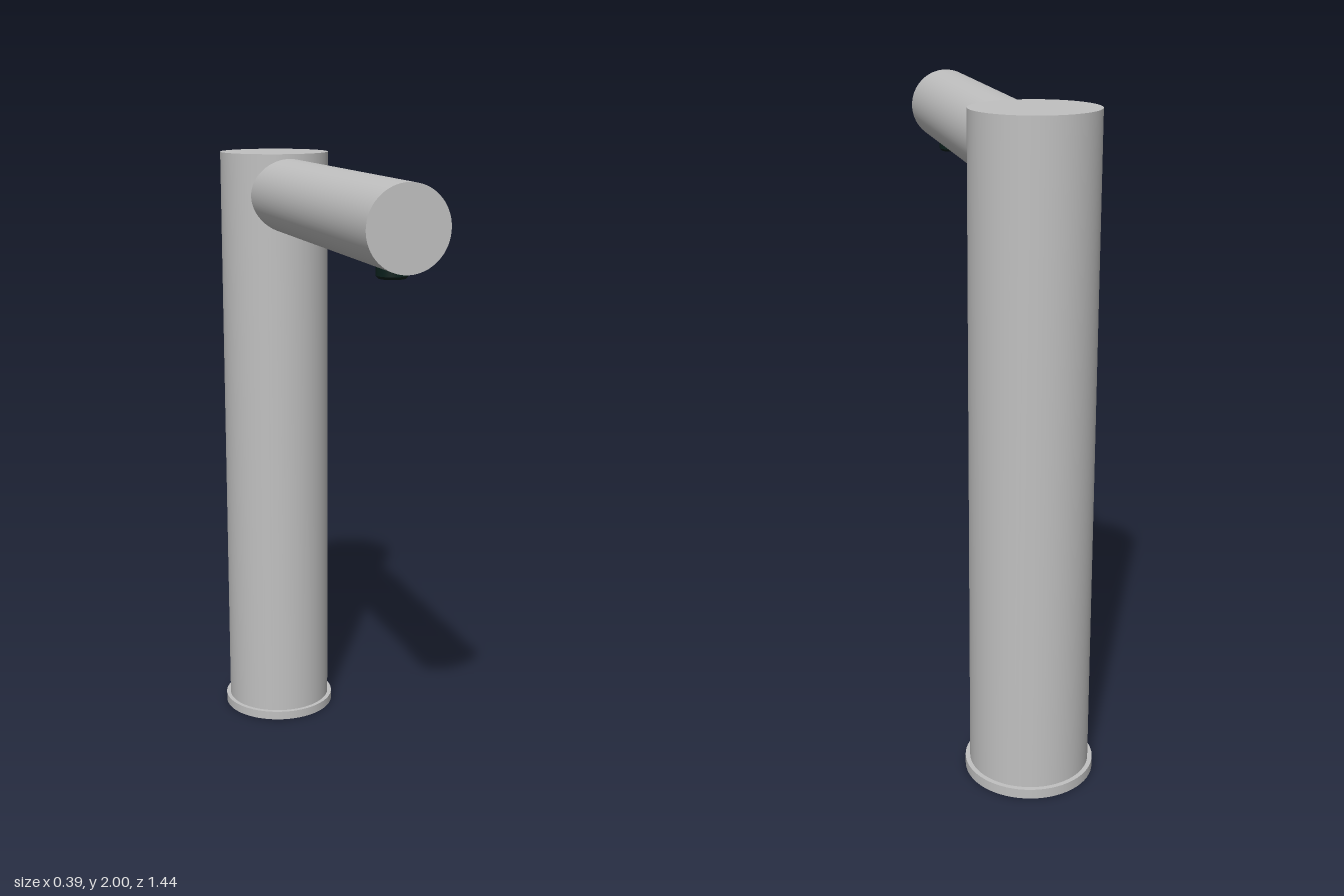
import * as THREE from 'three';

export function createModel() {
  const group = new THREE.Group();
  group.name = 'basinTap';

  const metal = new THREE.MeshStandardMaterial({ color: 0xc0c0c0 });
  metal.name = 'brushedMetal';
  const dark = new THREE.MeshStandardMaterial({ color: 0x0a1f1b });
  dark.name = 'darkRubber';

  const columnZ = -0.523;

  // Vertical cylinder spanning y0..y1
  function post(name, rTop, rBottom, y0, y1, z, material) {
    const mesh = new THREE.Mesh(new THREE.CylinderGeometry(rTop, rBottom, y1 - y0, 64), material);
    mesh.name = name;
    mesh.position.set(0, (y0 + y1) / 2, z);
    group.add(mesh);
    return mesh;
  }

  // Base flange and upright body
  post('baseFlange', 0.195, 0.195, 0, 0.03, columnZ, metal);
  post('column', 0.181, 0.181, 0.03, 2, columnZ, metal);

  // Horizontal spout, starting inside the column
  const spoutBack = -0.48, spoutFront = 0.718;
  const spout = new THREE.Mesh(
    new THREE.CylinderGeometry(0.119, 0.119, spoutFront - spoutBack, 64), metal);
  spout.name = 'spout';
  spout.rotation.x = Math.PI / 2;
  spout.position.set(0, 1.866, (spoutBack + spoutFront) / 2);
  group.add(spout);

  // Water outlet under the spout tip
  post('outletCollar', 0.045, 0.045, 1.732, 1.77, 0.6, dark);
  post('outletLip', 0.045, 0.038, 1.724, 1.732, 0.6, dark);

  return group;
}
